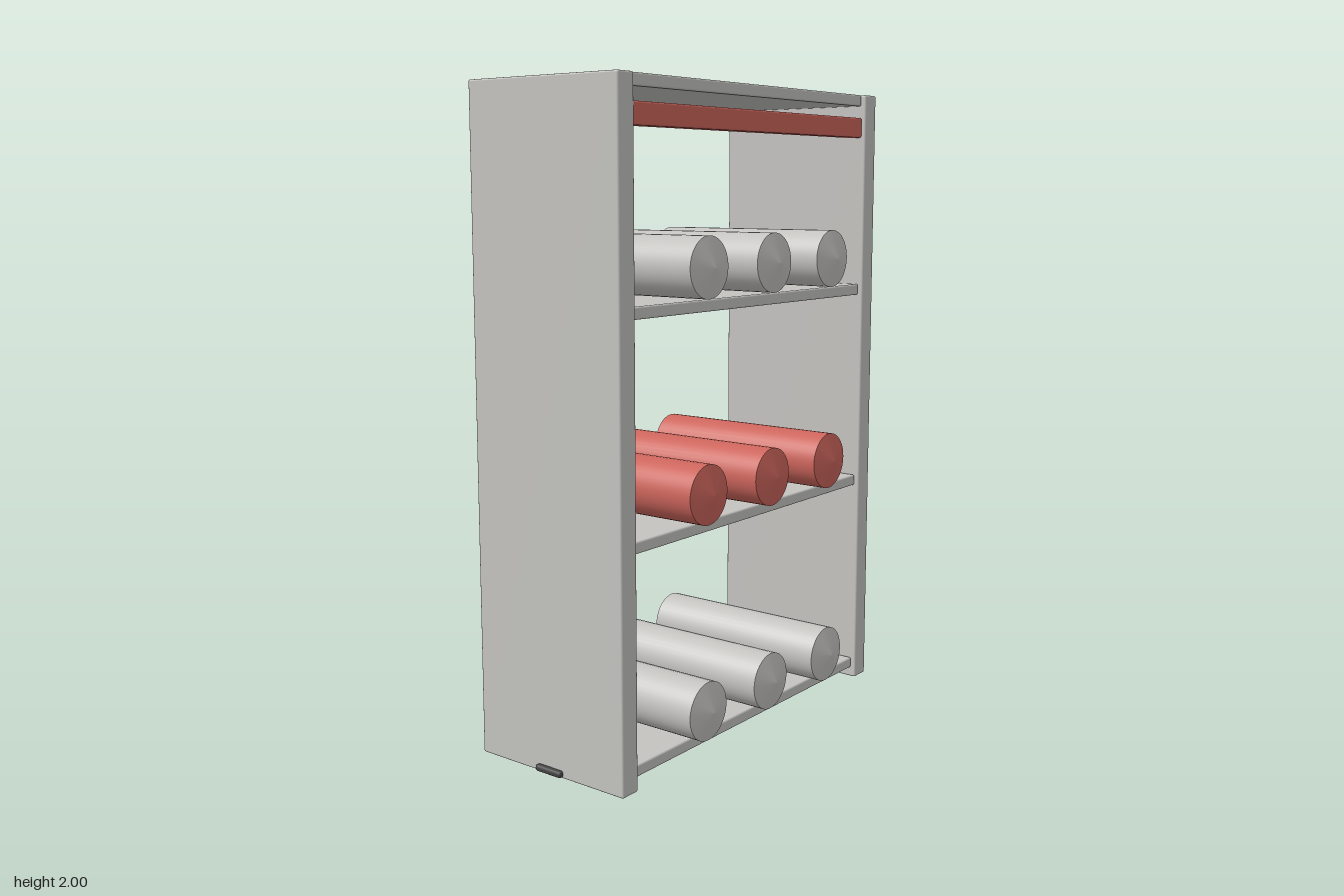
import * as THREE from 'three';
import { RoundedBoxGeometry } from 'three/addons/geometries/RoundedBoxGeometry.js';

const colour = (name, hex) => {
  const m = new THREE.MeshStandardMaterial({ color: hex });
  m.name = name;
  return m;
};

export function createModel() {
  const grey = colour('light grey', 0xc4c3c0);
  const red = colour('soft red', 0xcc655c);
  const dark = colour('dark rubber', 0x444444);

  const rack = new THREE.Group();
  rack.name = 'rack';

  const add = (name, geometry, material, x, y, z) => {
    const mesh = new THREE.Mesh(geometry, material);
    mesh.name = name;
    mesh.position.set(x, y, z);
    rack.add(mesh);
  };
  // Box with softly eased edges
  const easedBox = (w, h, d, r = 0.006) => new RoundedBoxGeometry(w, h, d, 2, r);

  // Side panels, each with a foot clip set into its lower edge
  const panel = easedBox(0.067, 2, 0.556);
  const foot = easedBox(0.096, 0.02, 0.1, 0.008);
  for (const [side, s] of [['left', 1], ['right', -1]]) {
    add(side + 'Panel', panel, grey, s * 0.6285, 1, 0);
    add(side + 'Foot', foot, dark, s * 0.629, 0.0135, 0);
  }

  // Top board and three shelves
  const shelf = easedBox(1.184, 0.036, 0.53);
  add('topBoard', shelf, grey, 0, 1.982, 0);

  // Front rail below the top board
  add('frontRail', easedBox(1.184, 0.064, 0.05), red, 0, 1.894, 0.243);

  // Rolls with shallow cone ends, lying front to back;
  // separate bands keep the rims sharp
  const R = 0.09, BODY = 0.325, TIP = 0.349;
  const bands = [
    [[0, -TIP], [R, -BODY]],
    [[R, -BODY], [R, BODY]],
    [[R, BODY], [0, TIP]],
  ].map((pts) => new THREE.LatheGeometry(
    pts.map(([x, y]) => new THREE.Vector2(x, y)), 40).rotateX(Math.PI / 2));
  const bandNames = ['rollBackEnd', 'rollBody', 'rollFrontEnd'];

  for (let level = 0; level < 3; level++) {
    const y = 0.053 + level * 0.654;
    add('shelf', shelf, grey, 0, y, 0);
    for (const x of [-0.325, 0, 0.325]) {
      bands.forEach((band, i) =>
        add(bandNames[i], band, level === 1 ? red : grey, x, y + 0.115, 0));
    }
  }
  return rack;
}
